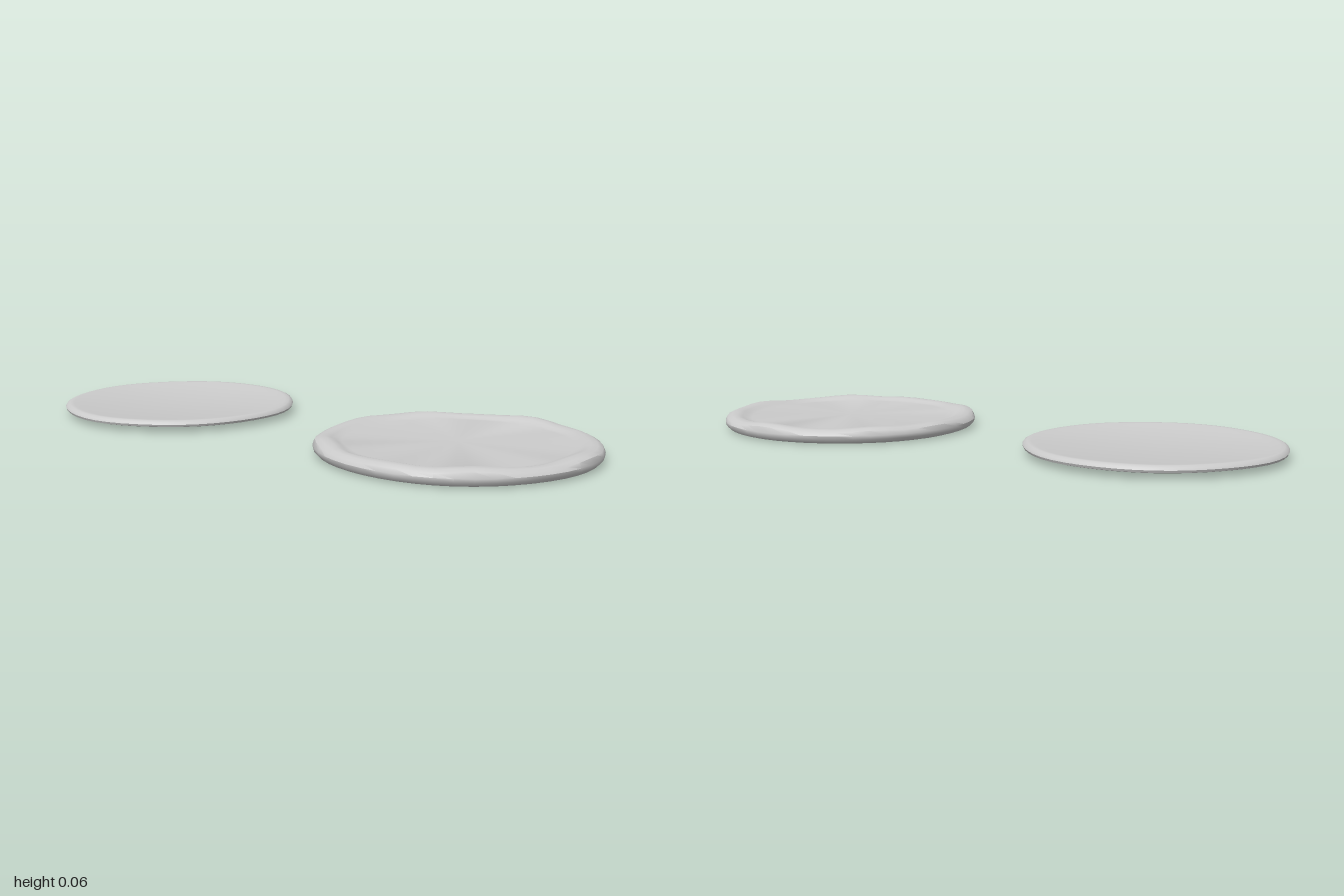
import * as THREE from 'three';
import { mergeVertices, toCreasedNormals } from 'three/addons/utils/BufferGeometryUtils.js';

// Turned dish whose outline and rim height wander with the angle
function wobblyDisc(name, profile, segments, edge, lift) {
  const points = profile.map(([r, y]) => new THREE.Vector2(r, y));
  let geo = new THREE.LatheGeometry(points, segments);
  geo.deleteAttribute('uv');
  geo.deleteAttribute('normal');
  geo = mergeVertices(geo, 1e-5);
  const pos = geo.attributes.position;
  for (let i = 0; i < pos.count; i++) {
    const x = pos.getX(i), y = pos.getY(i), z = pos.getZ(i);
    const a = Math.atan2(x, z), r = Math.hypot(x, z);
    const s = edge(a, r);
    pos.setXYZ(i, x * s, y + lift(a, r, y), z * s);
  }
  const mesh = new THREE.Mesh(toCreasedNormals(geo, 0.7),
    new THREE.MeshStandardMaterial({ color: 0xcccccc, side: THREE.DoubleSide }));
  mesh.name = name;
  return mesh;
}

export function createModel() {
  const group = new THREE.Group();

  // Thick base with a puffy, uneven rim
  const base = wobblyDisc('thickBase', [
    [0, 0], [0.405, 0], [0.422, 0.005], [0.433, 0.016], [0.435, 0.028],
    [0.428, 0.041], [0.413, 0.048], [0.393, 0.050], [0.376, 0.046],
    [0.363, 0.040], [0.345, 0.037], [0, 0.038],
  ], 48,
  (a, r) => 1 + 0.006 * Math.cos(2 * a) + 0.004 * Math.sin(5 * a + 1)
    + (r < 0.4 ? 0.008 * Math.sin(9 * a) + 0.006 * Math.sin(13 * a + 2) : 0),
  (a, r, y) => (y > 0.039 && r > 0.36
    ? 0.0025 * Math.sin(5 * a + 0.6) + 0.0025 * Math.sin(8 * a + 2) + 0.001 * Math.cos(13 * a) : 0));
  base.position.set(0, 0, 0.55);
  group.add(base);

  // Thin top layer with a low, rounded lip
  const layer = wobblyDisc('thinLayer', [
    [0, 0.016], [0.392, 0.016], [0.403, 0.019], [0.406, 0.026], [0.402, 0.033],
    [0.392, 0.038], [0.378, 0.038], [0.352, 0.032], [0, 0.032],
  ], 48,
  (a) => 1 - 0.010 * Math.cos(2 * a) + 0.008 * Math.sin(3 * a + 1.5) * Math.cos(a)
    + 0.005 * Math.sin(7 * a),
  () => 0);
  layer.position.set(0, 0, -0.6);
  group.add(layer);

  return group;
}
